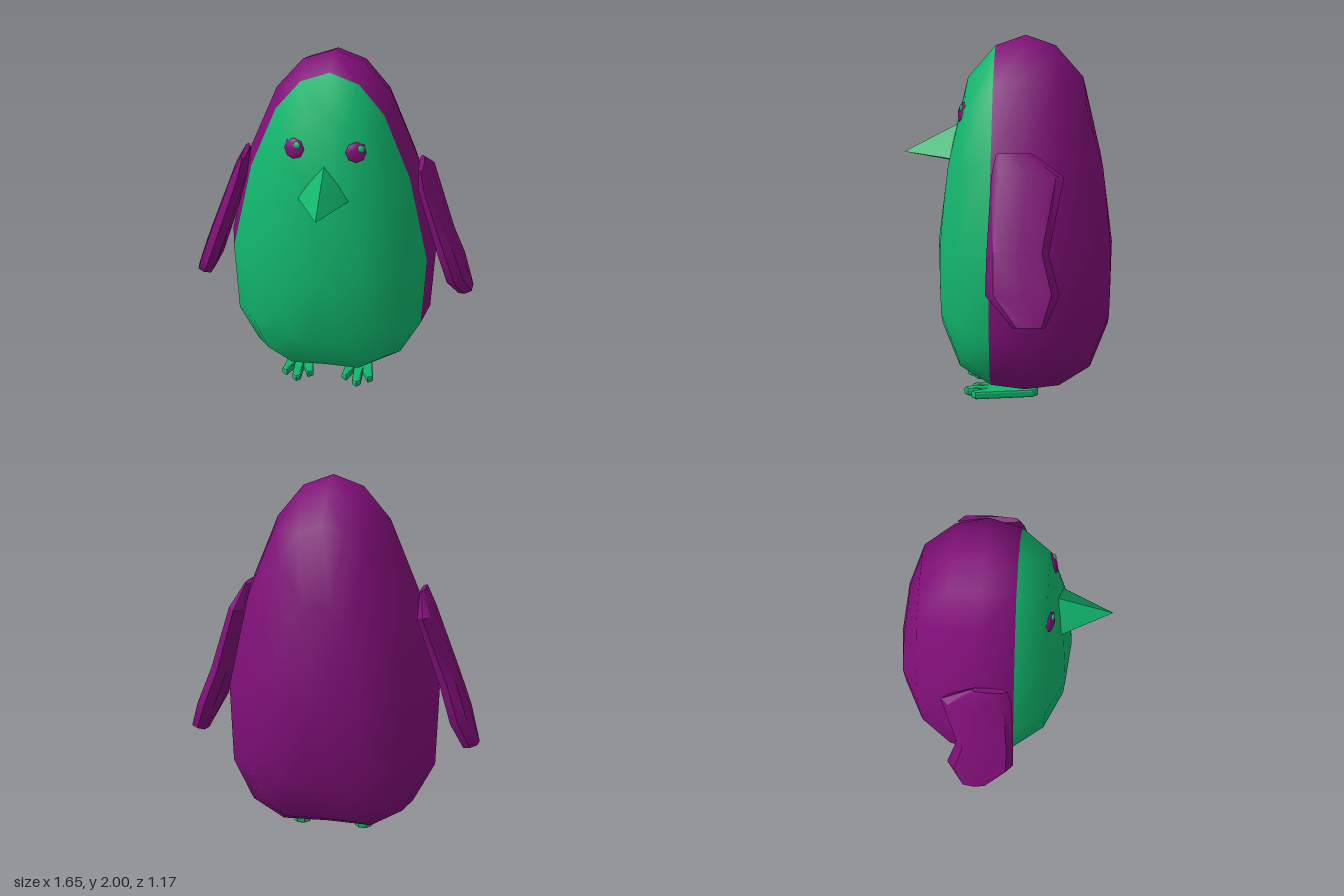
import * as THREE from 'three';
import { mergeVertices, toCreasedNormals } from 'three/addons/utils/BufferGeometryUtils.js';

const green = new THREE.MeshStandardMaterial({ color: 0x11b56c });
green.name = 'green';
const purple = new THREE.MeshStandardMaterial({ color: 0x800f78 });
purple.name = 'purple';

// Closed skin over rows of points; each row is a ring of equal length
function skin(rows) {
  const n = rows[0].length, index = [];
  for (let j = 0; j < rows.length - 1; j++) {
    for (let i = 0; i < n; i++) {
      const a = j * n + i, b = j * n + (i + 1) % n, c = b + n, d = a + n;
      index.push(a, b, d, b, c, d);
    }
  }
  const g = new THREE.BufferGeometry();
  g.setAttribute('position', new THREE.Float32BufferAttribute(rows.flat(2), 3));
  g.setIndex(index);
  const merged = mergeVertices(g, 1e-5);
  merged.computeVertexNormals();
  return merged;
}

function add(parent, name, geometry, material) {
  const m = new THREE.Mesh(geometry, material);
  m.name = name;
  parent.add(m);
  return m;
}

// Egg-shaped body: rings run from the front pole to the back pole
function bodyGeometry() {
  const half = [[0, 2], [0.165, 1.94], [0.31, 1.77], [0.47, 1.39], [0.595, 0.85],
    [0.58, 0.4], [0.46, 0.17], [0.27, 0.063], [0, 0.07]];
  const outline = [...half, ...half.slice(1, 8).reverse().map(([x, y]) => [-x, y])];
  const fx = [0, 0.4, 0.72, 0.925, 1];
  const fUp = [0, 0.47, 0.8, 0.95, 1];
  const fDown = [0, 0.57, 0.86, 0.978, 1];
  const fz = [1, 0.95, 0.74, 0.385, 0];
  const rows = [];
  for (let j = 0; j <= 8; j++) {
    const k = j <= 4 ? j : 8 - j, side = j <= 4 ? 1 : -1;
    rows.push(outline.map(([x, y], i) => {
      const up = Math.max(0, Math.cos(i * Math.PI / 8));
      const depth = 0.49 * fz[k] * (k ? 1 - 0.12 * up : 1);
      return [x * fx[k], 0.85 + (y - 0.85) * (y > 0.85 ? fUp : fDown)[k], -0.1 + side * depth];
    }));
  }
  const g = skin(rows);
  const front = 3 * 16 * 6;
  g.addGroup(0, front, 0);
  g.addGroup(front, g.index.count - front, 1);
  return g;
}

// Flat flipper lofted from shoulder to tip; s is +1 for left, -1 for right
function flipperGeometry(s) {
  // centre x, centre y, front z, back z, half thickness
  const stations = [
    [0.488, 1.392, 0.05, -0.14, 0.015],
    [0.515, 1.275, 0.075, -0.3, 0.045],
    [0.645, 0.9, 0.095, -0.22, 0.055],
    [0.715, 0.7, 0.1, -0.275, 0.058],
    [0.778, 0.548, -0.04, -0.2, 0.048]];
  const rows = stations.map(([cx, cy, zf, zb, t]) => Array.from({ length: 8 }, (_, k) => {
    const a = s * k * Math.PI / 4;
    const w = Math.cos(a) * t * (k % 2 ? 1.15 : 1), d = Math.sin(a) * (k % 2 ? 1.1 : 1);
    return [s * (cx + w * 0.96), cy + w * 0.28, (zf + zb) / 2 + d * (zf - zb) / 2];
  }));
  const cap = ([cx, cy, zf, zb]) => Array.from({ length: 8 }, () => [s * cx, cy, (zf + zb) / 2]);
  return toCreasedNormals(skin([cap(stations[0]), ...rows, cap(stations[4])]), 0.75);
}

// Webbed foot with three toes
function footGeometry() {
  const half = [[0, 0.23], [0.018, 0.215], [0.026, 0.11], [0.066, 0.185], [0.086, 0.17],
    [0.07, 0.06], [0.055, -0.04], [0.04, -0.14], [0.018, -0.165]];
  const pts = [...half, ...half.slice(1).reverse().map(([x, z]) => [-x, z])];
  const shape = new THREE.Shape(pts.map(([x, z]) => new THREE.Vector2(x, -z)));
  const g = new THREE.ExtrudeGeometry(shape, {
    depth: 0.022, bevelEnabled: true, bevelThickness: 0.012, bevelSize: 0.012,
    bevelOffset: -0.004, bevelSegments: 2 });
  g.rotateX(-Math.PI / 2);
  g.translate(0, 0.012, 0);
  return g;
}

export function createModel() {
  const model = new THREE.Group();
  model.name = 'penguin';

  add(model, 'body', bodyGeometry(), [green, purple]);

  // Beak
  const base = [[0.155, 1.325], [0.08, 1.43], [0, 1.515], [-0.08, 1.43], [-0.155, 1.325], [0, 1.3]];
  const beak = skin([
    base.map(([x, y]) => [x, y, 0.27]),
    base.map(() => [0, 1.355, 0.58])]);
  add(model, 'beak', toCreasedNormals(beak, 0.7), green);

  for (const s of [1, -1]) {
    const side = s > 0 ? 'left' : 'right';

    add(model, side + 'Flipper', flipperGeometry(s), purple);

    // Eye with a small highlight, tilted to lie on the face
    const eye = new THREE.Group();
    eye.name = side + 'Eye';
    eye.position.set(s * 0.162, 1.585, 0.238);
    eye.rotation.set(-0.2, s * 0.25, 0);
    const ball = add(eye, side + 'Eyeball', new THREE.SphereGeometry(0.06, 8, 6), purple);
    ball.geometry.rotateX(Math.PI / 2);
    ball.scale.z = 0.42;
    const glint = add(eye, side + 'EyeHighlight', new THREE.SphereGeometry(0.02, 8, 6), green);
    glint.position.set(0.022, 0.022, 0.018);
    glint.scale.z = 0.5;
    model.add(eye);

    const foot = add(model, side + 'Foot', footGeometry(), green);
    foot.position.x = s * 0.18;
  }
  return model;
}
